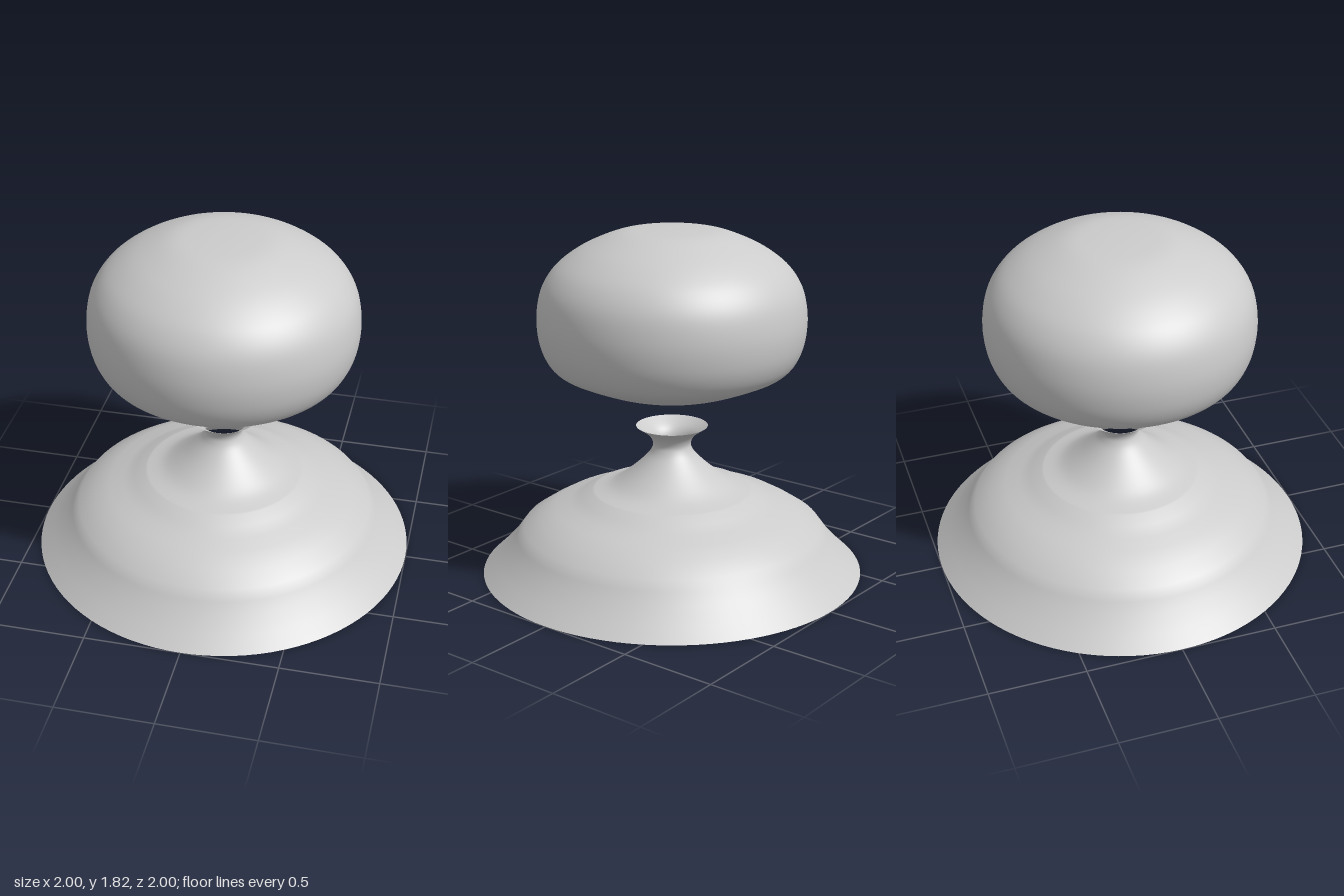
import * as THREE from 'three';

const toPoints = (pairs) => pairs.map(([r, y]) => new THREE.Vector2(r, y));

// Smooth curve through a few profile points
const smooth = (pairs, n) => new THREE.SplineCurve(toPoints(pairs)).getPoints(n);

// Thin open shell turned around the vertical axis (profile runs bottom to top)
function turned(name, profile, material) {
  const mesh = new THREE.Mesh(new THREE.LatheGeometry(profile, 96), material);
  mesh.name = name;
  return mesh;
}

export function createModel() {
  const group = new THREE.Group();
  group.name = 'lamp';
  const material = new THREE.MeshStandardMaterial({ color: 0xcccccc, side: THREE.DoubleSide });

  // Stepped skirt, open underneath, rising into a slim neck with a flared open lip
  const skirt = toPoints([
    [1, 0], [0.93, 0.066], [0.86, 0.14], [0.82, 0.195], [0.783, 0.245],
    [0.7, 0.3], [0.615, 0.348], [0.54, 0.368], [0.48, 0.402],
  ]);
  const neck = smooth([
    [0.42, 0.433], [0.32, 0.466], [0.225, 0.532], [0.137, 0.613],
    [0.104, 0.66], [0.1, 0.695], [0.125, 0.737], [0.187, 0.782],
  ], 40);
  group.add(turned('base', [...skirt, ...neck], material));

  // Floating hollow globe: flat underside with a small round hole, closed crown
  const underside = toPoints([[0.1, 0.968], [0.19, 0.968]]);
  const bowl = smooth([
    [0.28, 0.97], [0.39, 1.005], [0.52, 1.058], [0.6, 1.1], [0.648, 1.16],
    [0.68, 1.25], [0.69, 1.37], [0.668, 1.5], [0.612, 1.6], [0.53, 1.675],
    [0.42, 1.74], [0.27, 1.797], [0.13, 1.812], [0, 1.815],
  ], 64);
  group.add(turned('globe', [...underside, ...bowl], material));

  return group;
}
